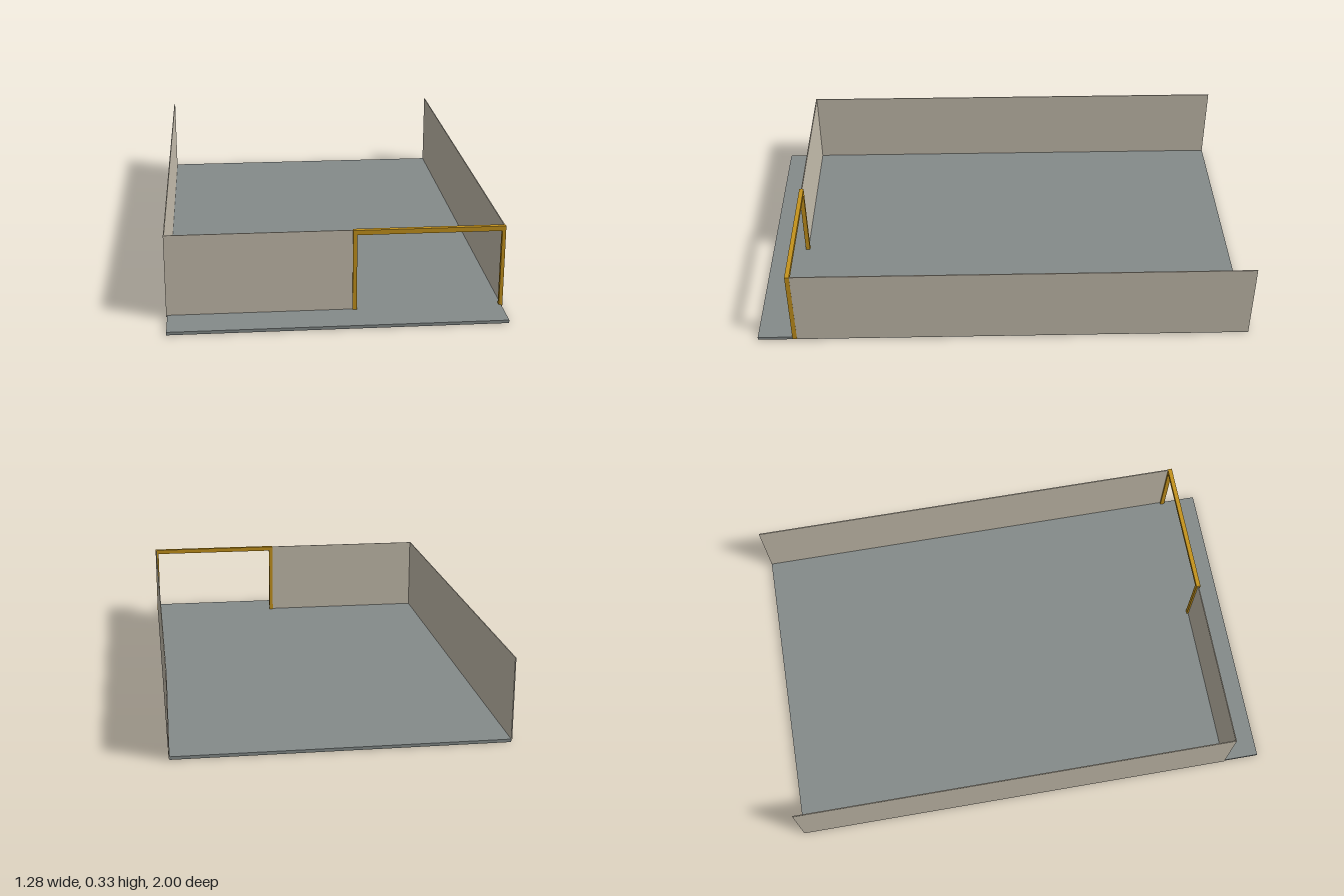
import * as THREE from 'three';

export function createModel() {
  const model = new THREE.Group();
  model.name = 'openRoom';

  const floorGrey = new THREE.MeshStandardMaterial({ color: 0x848b8a });
  floorGrey.name = 'floorGrey';
  const wallBeige = new THREE.MeshStandardMaterial({ color: 0xc5bdad });
  wallBeige.name = 'wallBeige';
  const frameGold = new THREE.MeshStandardMaterial({ color: 0xc4921c });
  frameGold.name = 'frameGold';

  // Box given by its lower and upper corners
  function block(name, material, [x0, y0, z0], [x1, y1, z1], parent = model) {
    const mesh = new THREE.Mesh(new THREE.BoxGeometry(x1 - x0, y1 - y0, z1 - z0), material);
    mesh.position.set((x0 + x1) / 2, (y0 + y1) / 2, (z0 + z1) / 2);
    mesh.name = name;
    parent.add(mesh);
  }

  const halfWidth = 0.641;
  const thickness = 0.004;
  const inner = halfWidth - thickness;
  const wallBase = 0.006;
  const wallTop = 0.333;
  const frontZ = 0.85;

  // Floor slab, running out past the front wall as a threshold
  block('floor', floorGrey, [-inner, 0, -1], [inner, 0.012, 1]);

  // Long side walls; the back stays open
  block('leftWall', wallBeige, [inner, wallBase, -1], [halfWidth, wallTop, frontZ + 0.002]);
  block('rightWall', wallBeige, [-halfWidth, wallBase, -1], [-inner, wallTop, frontZ + 0.002]);

  // Front wall beside the doorway
  block('frontWall', wallBeige, [-inner, wallBase, frontZ - 0.002], [0.066, wallTop, frontZ + 0.002]);

  // Door frame: two posts and a lintel
  const frame = new THREE.Group();
  frame.name = 'doorFrame';
  model.add(frame);
  const back = frontZ - 0.009;
  const front = frontZ + 0.009;
  const lintel = 0.315;
  block('innerPost', frameGold, [0.064, wallBase, back], [0.08, lintel, front], frame);
  block('outerPost', frameGold, [0.628, wallBase, back], [0.642, lintel, front], frame);
  block('lintel', frameGold, [0.064, lintel, back], [0.642, wallTop + 0.001, front], frame);

  return model;
}
